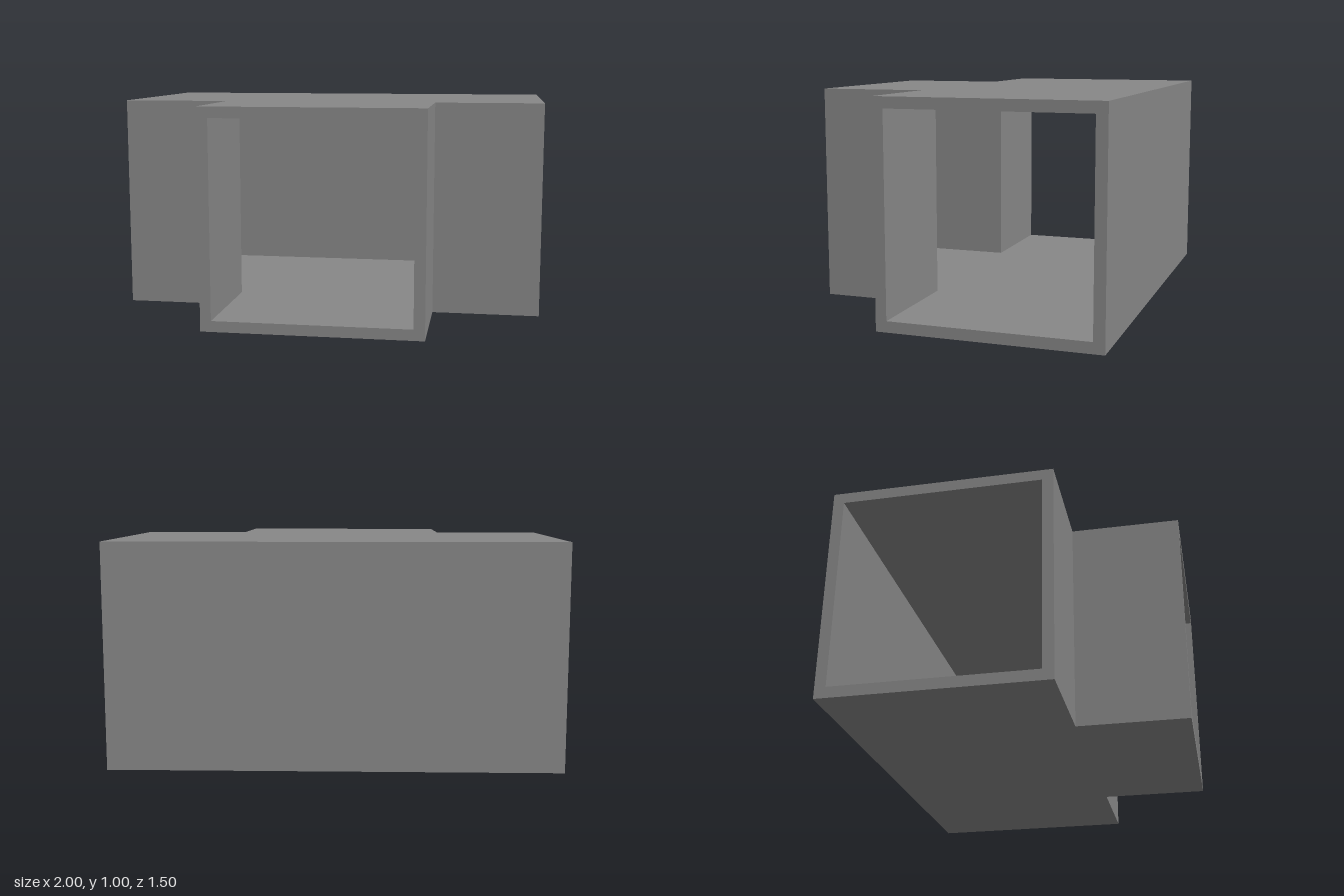
import * as THREE from 'three';

const T = 0.05; // sheet thickness
const H = 1; // duct height
const material = new THREE.MeshStandardMaterial({ color: 0x888888, flatShading: true });

// Extrude a floor-plan outline of [x, z] points from height y0 to y1
function slab(name, plan, y0, y1) {
  const shape = new THREE.Shape(plan.map(([x, z]) => new THREE.Vector2(x, -z)));
  const geometry = new THREE.ExtrudeGeometry(shape, { depth: y1 - y0, bevelEnabled: false });
  geometry.rotateX(-Math.PI / 2).translate(0, y0, 0);
  const mesh = new THREE.Mesh(geometry, material);
  mesh.name = name;
  return mesh;
}

export function createModel() {
  const group = new THREE.Group();
  group.name = 'teeDuct';

  // T-shaped floor and roof
  const tee = [
    [-1, -0.75], [1, -0.75], [1, 0.25], [0.5, 0.25],
    [0.5, 0.75], [-0.5, 0.75], [-0.5, 0.25], [-1, 0.25],
  ];
  group.add(slab('floor', tee, 0, T));
  group.add(slab('roof', tee, H - T, H));

  // Straight back wall
  const back = [[-1, -0.75], [1, -0.75], [1, -0.75 + T], [-1, -0.75 + T]];
  group.add(slab('backWall', back, T, H - T));

  // L-shaped walls joining the side openings to the front opening
  for (const [name, s] of [['leftCornerWall', 1], ['rightCornerWall', -1]]) {
    const corner = [
      [1, 0.25], [0.5, 0.25], [0.5, 0.75],
      [0.5 - T, 0.75], [0.5 - T, 0.25 - T], [1, 0.25 - T],
    ].map(([x, z]) => [s * x, z]);
    group.add(slab(name, corner, T, H - T));
  }
  return group;
}
